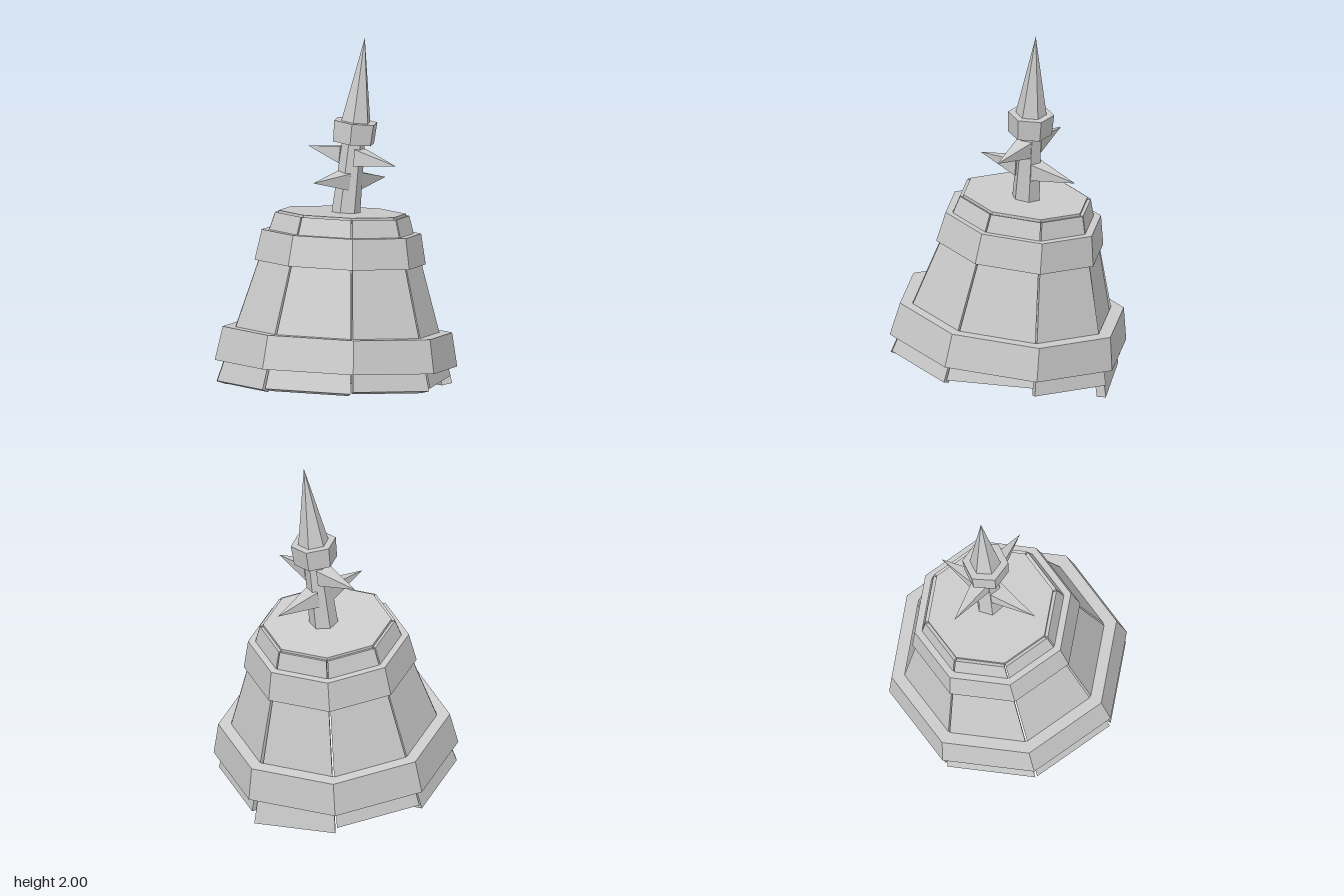
import * as THREE from 'three';

const SIDES = 8;
const STEP = (Math.PI * 2) / SIDES;
const material = new THREE.MeshStandardMaterial({ color: 0xcccccc, flatShading: true });

function addMesh(parent, name, geometry) {
  const mesh = new THREE.Mesh(geometry, material);
  mesh.name = name;
  parent.add(mesh);
  return mesh;
}

// Outer corner radius of the tapered shell at a given height
const shellRadius = (y) => 0.36 + (0.82 - y) * 0.304;

// Flat tapered plank filling one side of the octagon; its lower end may be slanted and pushed inward
function staveGeometry({ drop, slant, gap, inset }) {
  const thickness = 0.055;
  const geometry = new THREE.BoxGeometry(2, 2, 2);
  const p = geometry.attributes.position;
  for (let i = 0; i < p.count; i++) {
    const side = Math.sign(p.getX(i));
    const upper = p.getY(i) > 0;
    const inner = p.getZ(i) < 0;
    const y = upper ? 0.805 : -drop + side * slant;
    const r = shellRadius(y) - (inner ? thickness : 0) - (upper ? 0 : inset);
    const halfWidth = r * Math.sin(STEP / 2) - (upper ? 0.004 : gap);
    // End faces stay square to the sloping plank
    p.setXYZ(i, side * halfWidth, y - (inner ? thickness * 0.27 : 0), r * Math.cos(STEP / 2));
  }
  geometry.computeVertexNormals();
  return geometry;
}

// Octagonal band that rests on the staves
function hoopGeometry(y0, y1, outer0, outer1) {
  const profile = [
    [outer0, y0], [outer1, y1],
    [shellRadius(y1) - 0.005, y1], [shellRadius(y0) - 0.005, y0],
    [outer0, y0],
  ].map(([r, y]) => new THREE.Vector2(r, y));
  return new THREE.LatheGeometry(profile, SIDES);
}

// Six-sided section between two heights, turned about its axis
function hexGeometry(topRadius, bottomRadius, y0, y1, turn = Math.PI / 6) {
  const geometry = new THREE.CylinderGeometry(topRadius, bottomRadius, y1 - y0, 6);
  return geometry.rotateY(turn).translate(0, (y0 + y1) / 2, 0);
}

export function createModel() {
  const model = new THREE.Group();
  model.name = 'spikedBucket';

  // Leaning body: uneven staves, two hoops and a lid
  const body = new THREE.Group();
  body.name = 'body';
  body.position.set(0, 0.245, 0);
  body.rotation.set(-0.114, 0, 0.035);
  model.add(body);

  // Staves run from the front, round by +x to the back, and on
  const staves = [
    { drop: 0.105, slant: 0, gap: 0.009, inset: 0 },
    { drop: 0.095, slant: 0, gap: 0.007, inset: 0 },
    { drop: 0.065, slant: 0.015, gap: 0.006, inset: 0 },
    { drop: 0.09, slant: 0, gap: 0.006, inset: 0 },
    { drop: 0.147, slant: 0.015, gap: 0.007, inset: 0.02 },
    { drop: 0.092, slant: 0, gap: 0.005, inset: 0 },
    { drop: 0.115, slant: 0, gap: 0.005, inset: 0 },
    { drop: 0.112, slant: 0, gap: 0.007, inset: 0 },
  ];
  staves.forEach((spec, k) => {
    addMesh(body, 'stave', staveGeometry(spec)).rotation.y = STEP * (k + 0.5);
  });

  addMesh(body, 'lowerHoop', hoopGeometry(0, 0.182, 0.657, 0.622));
  addMesh(body, 'upperHoop', hoopGeometry(0.545, 0.71, 0.464, 0.432));
  const lid = addMesh(body, 'lid', new THREE.CylinderGeometry(0.345, 0.345, 0.03, SIDES));
  lid.position.y = 0.8;

  // Post leaning its own way, with collar and point
  const post = new THREE.Group();
  post.name = 'post';
  post.position.set(-0.013, 1.05, -0.105);
  post.rotation.set(-0.102, -0.04, -0.058);
  model.add(post);

  addMesh(post, 'shaft', hexGeometry(0.06, 0.078, -0.02, 0.42, Math.PI / 12));
  addMesh(post, 'collar', hexGeometry(0.124, 0.118, 0.385, 0.5));
  addMesh(post, 'point', hexGeometry(0, 0.085, 0.49, 0.955));

  // Crossed pairs of square spikes, each starting at the face of the shaft
  const barb = new THREE.ConeGeometry(0.046 * Math.SQRT2, 0.256, 4)
    .rotateY(Math.PI / 4)
    .translate(0, 0.178, 0);
  for (const side of [1, -1]) {
    const sideBarb = addMesh(post, 'sideBarb', barb);
    sideBarb.position.y = 0.31;
    sideBarb.rotation.z = -side * Math.PI / 2;
    const depthBarb = addMesh(post, 'depthBarb', barb);
    depthBarb.position.y = 0.178;
    depthBarb.rotation.x = side * Math.PI / 2;
  }

  return model;
}
